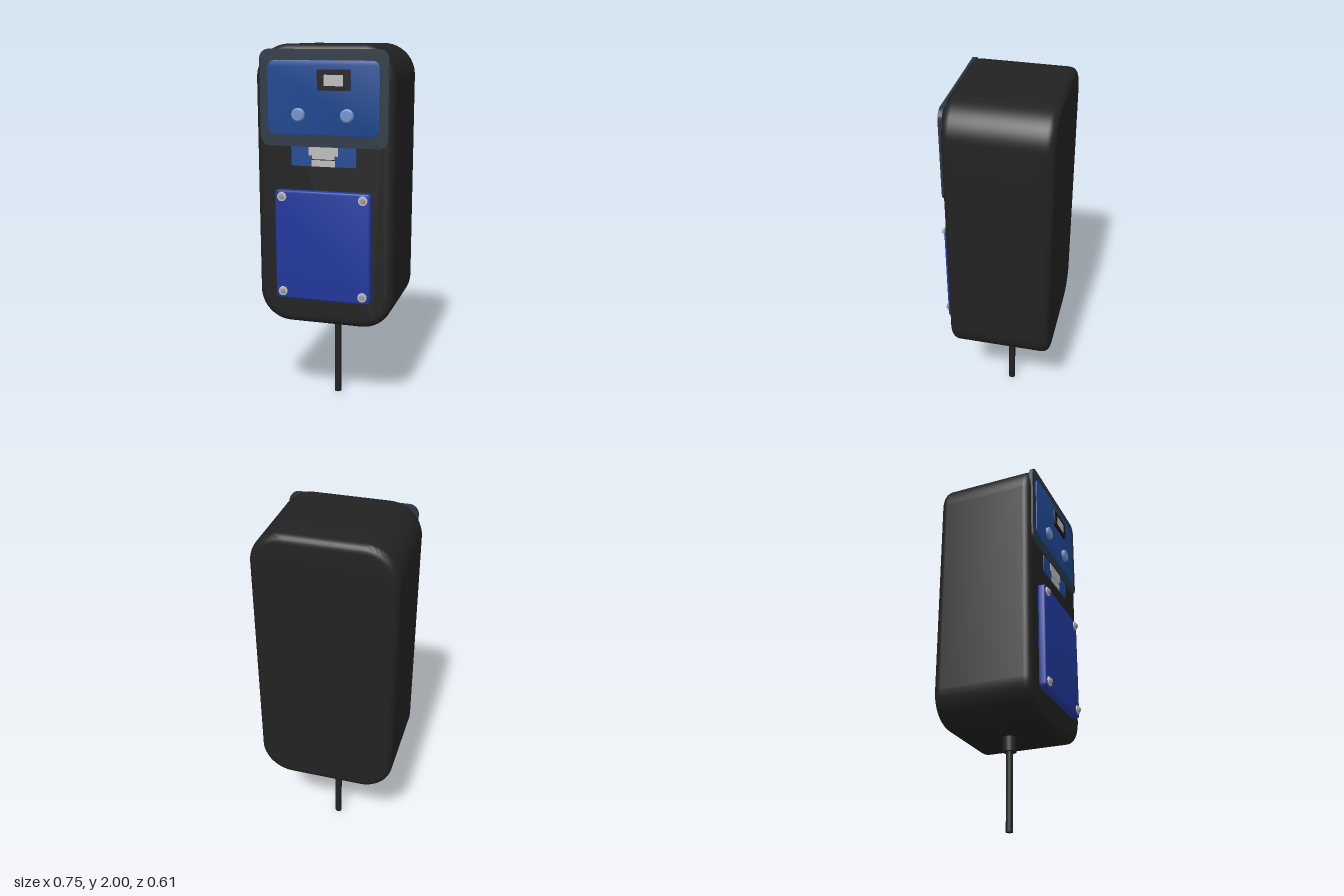
import * as THREE from 'three';
import { toCreasedNormals } from 'three/addons/utils/BufferGeometryUtils.js';

function material(name, color) {
  const m = new THREE.MeshStandardMaterial({ color });
  m.name = name;
  return m;
}

// Rounded rectangle outline centred on the origin
function roundedRect(w, h, r) {
  const x = w / 2, y = h / 2, s = new THREE.Shape();
  s.absarc(x - r, y - r, r, 0, Math.PI / 2);
  s.absarc(-x + r, y - r, r, Math.PI / 2, Math.PI);
  s.absarc(-x + r, -y + r, r, Math.PI, Math.PI * 1.5);
  s.absarc(x - r, -y + r, r, Math.PI * 1.5, Math.PI * 2);
  s.closePath();
  return s;
}

export function createModel() {
  const group = new THREE.Group();
  const black = material('casing black', 0x222222);
  const slate = material('bezel slate', 0x2b3642);
  const panelBlue = material('panel blue', 0x204a94);
  const coverBlue = material('cover blue', 0x22399e);
  const buttonBlue = material('button pale blue', 0x7393c8);
  const silver = material('silver', 0xbcbcbc);
  const steel = material('screw steel', 0x9a9a9a);
  const ink = material('display black', 0x1a1a1a);

  function add(name, geometry, mat, x = 0, y = 0, z = 0) {
    const mesh = new THREE.Mesh(geometry, mat);
    mesh.name = name;
    mesh.position.set(x, y, z);
    group.add(mesh);
    return mesh;
  }

  // Rounded slab between two corners, from z0 to z1, with bevelled rims
  function slab(name, mat, [x0, x1], [y0, y1], [z0, z1], radius, bevel, steps = 2) {
    const shape = roundedRect(x1 - x0 - 2 * bevel, y1 - y0 - 2 * bevel, radius - bevel);
    const geometry = new THREE.ExtrudeGeometry(shape, {
      depth: z1 - z0 - 2 * bevel, curveSegments: 10,
      bevelEnabled: bevel > 0, bevelSize: bevel, bevelThickness: bevel, bevelSegments: steps,
    });
    return add(name, toCreasedNormals(geometry, 0.6), mat, (x0 + x1) / 2, (y0 + y1) / 2, z0 + bevel);
  }

  // Disc or stud whose axis points to the front
  function stud(name, mat, x, y, z0, z1, r0, r1, sides) {
    const geometry = new THREE.CylinderGeometry(r1, r0, z1 - z0, sides);
    geometry.rotateX(Math.PI / 2);
    return add(name, geometry, mat, x, y, (z0 + z1) / 2);
  }

  // Casing
  slab('casing', black, [-0.373, 0.373], [0.505, 2], [-0.303, 0.247], 0.175, 0.042, 6);

  // Control panel
  slab('panelBezel', slate, [-0.342, 0.342], [1.48, 1.975], [0.236, 0.257], 0.05, 0);
  slab('controlPanel', panelBlue, [-0.298, 0.298], [1.54, 1.92], [0.25, 0.263], 0.04, 0.003);
  slab('displayFrame', ink, [-0.027, 0.147], [1.77, 1.875], [0.255, 0.273], 0.008, 0);
  slab('displayScreen', silver, [0.01, 0.11], [1.793, 1.849], [0.27, 0.275], 0.002, 0);
  for (const x of [-0.13, 0.13]) {
    stud('button', buttonBlue, x, 1.645, 0.26, 0.277, 0.035, 0.035, 24);
    stud('buttonCap', buttonBlue, x, 1.645, 0.277, 0.283, 0.035, 0.028, 24);
  }

  // Connector tab under the bezel
  slab('connectorTab', panelBlue, [-0.175, 0.175], [1.378, 1.5], [0.24, 0.253], 0.005, 0);
  slab('connectorTop', silver, [-0.08, 0.08], [1.434, 1.48], [0.25, 0.2555], 0.001, 0);
  slab('connectorNeck', silver, [-0.06, 0.06], [1.416, 1.434], [0.25, 0.2555], 0.001, 0);
  slab('connectorFoot', silver, [-0.063, 0.063], [1.378, 1.412], [0.25, 0.2555], 0.001, 0);
  slab('connectorGap', ink, [-0.062, 0.062], [1.412, 1.416], [0.25, 0.2545], 0.001, 0);

  // Battery cover with four corner screws
  slab('cover', coverBlue, [-0.26, 0.26], [0.655, 1.25], [0.24, 0.285], 0.02, 0.01, 3);
  for (const x of [-0.22, 0.22]) {
    for (const y of [0.695, 1.215]) {
      stud('screwWasher', silver, x, y, 0.283, 0.293, 0.026, 0.024, 16);
      stud('screwHead', steel, x, y, 0.292, 0.303, 0.016, 0.013, 6);
    }
  }

  // Cable and its strain relief
  add('strainRelief', new THREE.CylinderGeometry(0.037, 0.037, 0.1, 24), black, 0, 0.475, -0.027);
  add('cable', new THREE.CylinderGeometry(0.019, 0.019, 0.45, 20), black, 0, 0.225, -0.027);

  return group;
}
